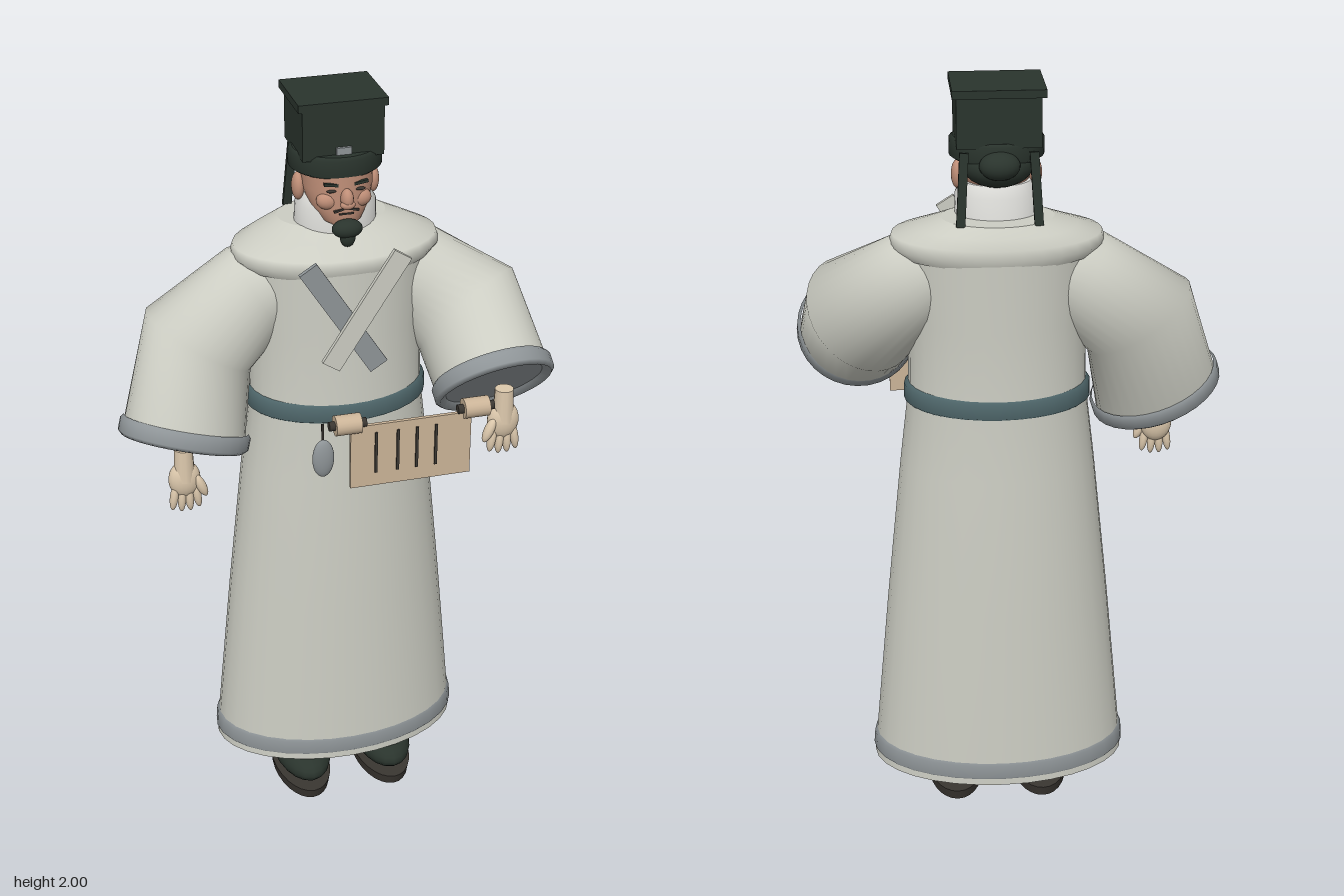
import * as THREE from 'three';

const mat = (name, color, side = THREE.FrontSide) => {
  const m = new THREE.MeshStandardMaterial({ color, side });
  m.name = name;
  return m;
};

export function createModel() {
  const robe = mat('robe cloth', 0xcccdc3, THREE.DoubleSide);
  const trim = mat('grey trim', 0x8f9598);
  const belt = mat('teal belt', 0x50686c);
  const black = mat('black green cloth', 0x2a342d);
  const skin = mat('face skin', 0xc08f78);
  const pale = mat('hand skin', 0xdcc8ac);
  const wood = mat('pale wood', 0xcbb498);
  const dark = mat('dark brown', 0x3a3631);
  const white = mat('white collar', 0xdededa);

  const model = new THREE.Group();
  const CX = 0.04; // body axis

  const add = (name, geo, material, x = 0, y = 0, z = 0, parent = model) => {
    const m = new THREE.Mesh(geo, material);
    m.name = name;
    m.position.set(x, y, z);
    parent.add(m);
    return m;
  };
  const box = (name, material, x, y, z, w, h, d) => add(name, new THREE.BoxGeometry(w, h, d), material, x, y, z);
  const ball = (name, material, x, y, z, rx, ry, rz, parent) => {
    const m = add(name, new THREE.SphereGeometry(1, 20, 14), material, x, y, z, parent);
    m.scale.set(rx, ry, rz);
    return m;
  };

  // Skin over elliptical rings: { c: centre, n: axis, a, b: radii }
  function loft(rings, ref, { seg = 32, start = false, end = false } = {}) {
    const pos = [], idx = [];
    const loops = rings.map(({ c, n, a, b }) => {
      const C = new THREE.Vector3(...c), N = new THREE.Vector3(...n).normalize();
      const R = new THREE.Vector3(...ref);
      const U = R.addScaledVector(N, -R.dot(N)).normalize();
      const V = new THREE.Vector3().crossVectors(N, U);
      return Array.from({ length: seg }, (_, j) => {
        const t = (j / seg) * Math.PI * 2;
        return C.clone().addScaledVector(U, a * Math.cos(t)).addScaledVector(V, b * Math.sin(t));
      });
    });
    loops.forEach((l) => l.forEach((p) => pos.push(p.x, p.y, p.z)));
    for (let i = 0; i < loops.length - 1; i++) {
      for (let j = 0; j < seg; j++) {
        const k = (j + 1) % seg, p = i * seg, q = p + seg;
        idx.push(p + j, p + k, q + j, p + k, q + k, q + j);
      }
    }
    const cap = (l, c, flip) => {
      const o = pos.length / 3;
      pos.push(...c);
      l.forEach((p) => pos.push(p.x, p.y, p.z));
      for (let j = 0; j < seg; j++) {
        const s = o + 1 + j, e = o + 1 + ((j + 1) % seg);
        idx.push(o, flip ? e : s, flip ? s : e);
      }
    };
    if (start) cap(loops[0], rings[0].c, true);
    if (end) cap(loops.at(-1), rings.at(-1).c, false);
    const g = new THREE.BufferGeometry();
    g.setAttribute('position', new THREE.Float32BufferAttribute(pos, 3));
    g.setIndex(idx);
    g.computeVertexNormals();
    return g;
  }
  // Upright rings given as [y, halfWidth, halfDepth, z]
  const upright = (name, material, rows, opts) =>
    add(name, loft(rows.map(([y, a, b, z]) => ({ c: [CX, y, z], n: [0, 1, 0], a, b })), [1, 0, 0], opts), material);

  // Robe, belt and hem
  upright('robe', robe, [
    [0.12, 0.34, 0.208, -0.078], [0.6, 0.294, 0.194, -0.077], [1.0, 0.252, 0.177, -0.075],
    [1.2, 0.228, 0.164, -0.074], [1.4, 0.225, 0.164, -0.077], [1.6, 0.24, 0.165, -0.08],
  ], { start: true });
  upright('shoulderMantle', robe, [
    [1.57, 0.25, 0.16, -0.08], [1.595, 0.27, 0.171, -0.08], [1.62, 0.262, 0.167, -0.08],
    [1.645, 0.2, 0.135, -0.1], [1.67, 0.14, 0.1, -0.115],
  ], { start: true, end: true });
  upright('belt', belt, [
    [1.168, 0.228, 0.16, -0.074], [1.177, 0.239, 0.171, -0.074],
    [1.216, 0.238, 0.17, -0.074], [1.226, 0.226, 0.16, -0.074],
  ]);
  upright('hemTrim', trim, [
    [0.135, 0.337, 0.205, -0.078], [0.143, 0.343, 0.211, -0.078],
    [0.18, 0.34, 0.21, -0.078], [0.19, 0.332, 0.203, -0.078],
  ]);

  // Crossed lapels
  box('darkLapel', trim, 0.013, 1.475, 0.102, 0.052, 0.34, 0.012).rotation.z = 0.57;
  box('lightLapel', robe, 0.068, 1.495, 0.114, 0.052, 0.34, 0.012).rotation.z = -0.57;

  // Wide sleeves with grey cuffs
  function sleeve(name, side, rings) {
    const ref = [side, 1, 0];
    add(name + 'Sleeve', loft(rings, ref), robe);
    const last = rings.at(-1), n = new THREE.Vector3(...last.n).normalize();
    const cuff = [[-0.045, 0.002], [-0.035, 0.01], [-0.005, 0.01], [0.005, 0], [-0.01, -0.02]].map(([d, r]) => ({
      c: last.c.map((v, i) => v + n.getComponent(i) * d), n: last.n, a: last.a + r, b: last.b + r,
    }));
    add(name + 'Cuff', loft(cuff, ref, { end: true }), trim);
  }
  sleeve('left', 1, [
    { c: [0.16, 1.53, -0.08], n: [1, -0.25, 0], a: 0.1, b: 0.1 },
    { c: [0.25, 1.49, -0.08], n: [0.9, -0.45, 0.05], a: 0.13, b: 0.118 },
    { c: [0.38, 1.39, -0.03], n: [0.5, -0.6, 0.6], a: 0.16, b: 0.155 },
    { c: [0.395, 1.265, 0.17], n: [0.08, -0.67, 0.74], a: 0.148, b: 0.148 },
  ]);
  sleeve('right', -1, [
    { c: [-0.08, 1.53, -0.08], n: [-1, -0.25, 0], a: 0.1, b: 0.1 },
    { c: [-0.17, 1.49, -0.085], n: [-0.9, -0.5, 0], a: 0.13, b: 0.115 },
    { c: [-0.32, 1.38, -0.07], n: [-0.55, -0.83, 0.05], a: 0.155, b: 0.14 },
    { c: [-0.385, 1.135, 0.01], n: [-0.28, -0.9, 0.28], a: 0.165, b: 0.13 },
  ]);

  // Hands hanging from the cuffs
  function hand(name, side, x, y, z) {
    const g = new THREE.Group();
    g.name = name;
    g.position.set(x, y, z);
    model.add(g);
    add('wrist', new THREE.CylinderGeometry(0.024, 0.028, 0.09, 12), pale, 0, 0.045, 0, g);
    ball('palm', pale, 0, 0, 0, 0.042, 0.052, 0.026, g);
    for (let i = 0; i < 4; i++) {
      const f = ball('finger', pale, (i - 1.5) * 0.02, -0.058 + Math.abs(i - 1.5) * 0.007, 0.006, 0.011, 0.038, 0.013, g);
      f.rotation.z = (i - 1.5) * 0.1;
    }
    ball('thumb', pale, -side * 0.04, -0.018, 0.012, 0.013, 0.036, 0.014, g).rotation.z = -side * 0.4;
  }
  hand('leftHand', 1, 0.4, 1.195, 0.222);
  hand('rightHand', -1, -0.39, 1.035, 0.03);

  // Slatted tablet with two rollers
  box('tablet', wood, 0.152, 1.152, 0.232, 0.316, 0.175, 0.01);
  [0.06, 0.117, 0.167, 0.217].forEach((x) => box('tabletLine', dark, x, 1.16, 0.238, 0.007, 0.115, 0.006));
  [-0.013, 0.322].forEach((x) => {
    const roller = (name, m, r, l) => {
      add(name, new THREE.CylinderGeometry(r, r, l, 20), m, x, 1.248, 0.231).rotation.z = Math.PI / 2;
    };
    roller('roller', wood, 0.026, 0.066);
    roller('rollerPin', dark, 0.012, 0.096);
  });

  // Belt pendant
  box('pendantCord', dark, -0.043, 1.155, 0.108, 0.006, 0.06, 0.006);
  ball('pendant', trim, -0.043, 1.088, 0.113, 0.029, 0.054, 0.014);

  // Shoes
  [-0.078, 0.157].forEach((x) => {
    ball('shoeUpper', black, x, 0.075, -0.015, 0.079, 0.055, 0.157);
    const sole = add('shoeSole', new THREE.CylinderGeometry(1, 0.95, 0.03, 28), dark, x, 0.015, -0.015);
    sole.scale.set(0.078, 1, 0.16);
  });

  // Neck collar and head
  upright('neckCollar', white, [
    [1.65, 0.105, 0.085, -0.08], [1.72, 0.103, 0.08, -0.075], [1.75, 0.085, 0.065, -0.075],
  ], { end: true });
  upright('head', skin, [
    [1.685, 0.03, 0.028, -0.01], [1.695, 0.05, 0.046, -0.02], [1.73, 0.076, 0.078, -0.048],
    [1.775, 0.089, 0.092, -0.063], [1.84, 0.09, 0.094, -0.066],
  ], { start: true });
  ball('hairBack', black, CX, 1.8, -0.118, 0.088, 0.055, 0.078);
  ball('hairKnot', black, CX, 1.815, -0.185, 0.05, 0.035, 0.04);
  ball('nose', skin, CX, 1.762, 0.033, 0.016, 0.027, 0.021);
  ball('noseTip', skin, CX, 1.75, 0.04, 0.019, 0.012, 0.014);
  box('mouth', dark, CX, 1.722, 0.027, 0.036, 0.004, 0.009);
  [-1, 1].forEach((s) => {
    ball('ear', skin, CX + s * 0.096, 1.765, -0.075, 0.016, 0.036, 0.024);
    ball('cheek', skin, CX + s * 0.04, 1.752, 0.003, 0.03, 0.024, 0.022);
    ball('eye', dark, CX + s * 0.037, 1.782, 0.023, 0.013, 0.004, 0.005);
    box('eyebrow', black, CX + s * 0.038, 1.799, 0.023, 0.036, 0.007, 0.009).rotation.z = s * 0.15;
    box('sideburn', black, CX + s * 0.088, 1.79, -0.085, 0.008, 0.05, 0.028);
    box('moustache', dark, CX + s * 0.019, 1.732, 0.028, 0.026, 0.005, 0.008).rotation.z = -s * 0.25;
    // Cap ribbon down the back
    const r = box('capRibbon', black, CX + s * 0.09, 1.755, -0.18, 0.022, 0.18, 0.012);
    r.rotation.set(0.12, 0, s * 0.06);
  });
  ball('goatee', black, CX, 1.685, 0.035, 0.039, 0.024, 0.026);
  ball('goateeTip', black, CX, 1.665, 0.04, 0.02, 0.026, 0.016);

  // Square hat on a round band
  upright('hatBand', black, [
    [1.812, 0.108, 0.102, -0.078], [1.818, 0.117, 0.108, -0.078],
    [1.858, 0.117, 0.108, -0.078], [1.866, 0.108, 0.1, -0.078],
  ], { start: true, end: true });
  box('hatCrown', black, CX, 1.92, -0.088, 0.206, 0.13, 0.175);
  box('hatTop', black, CX, 1.99, -0.094, 0.226, 0.02, 0.19);
  box('hatBadge', trim, CX, 1.876, 0.003, 0.038, 0.018, 0.008);

  return model;
}
